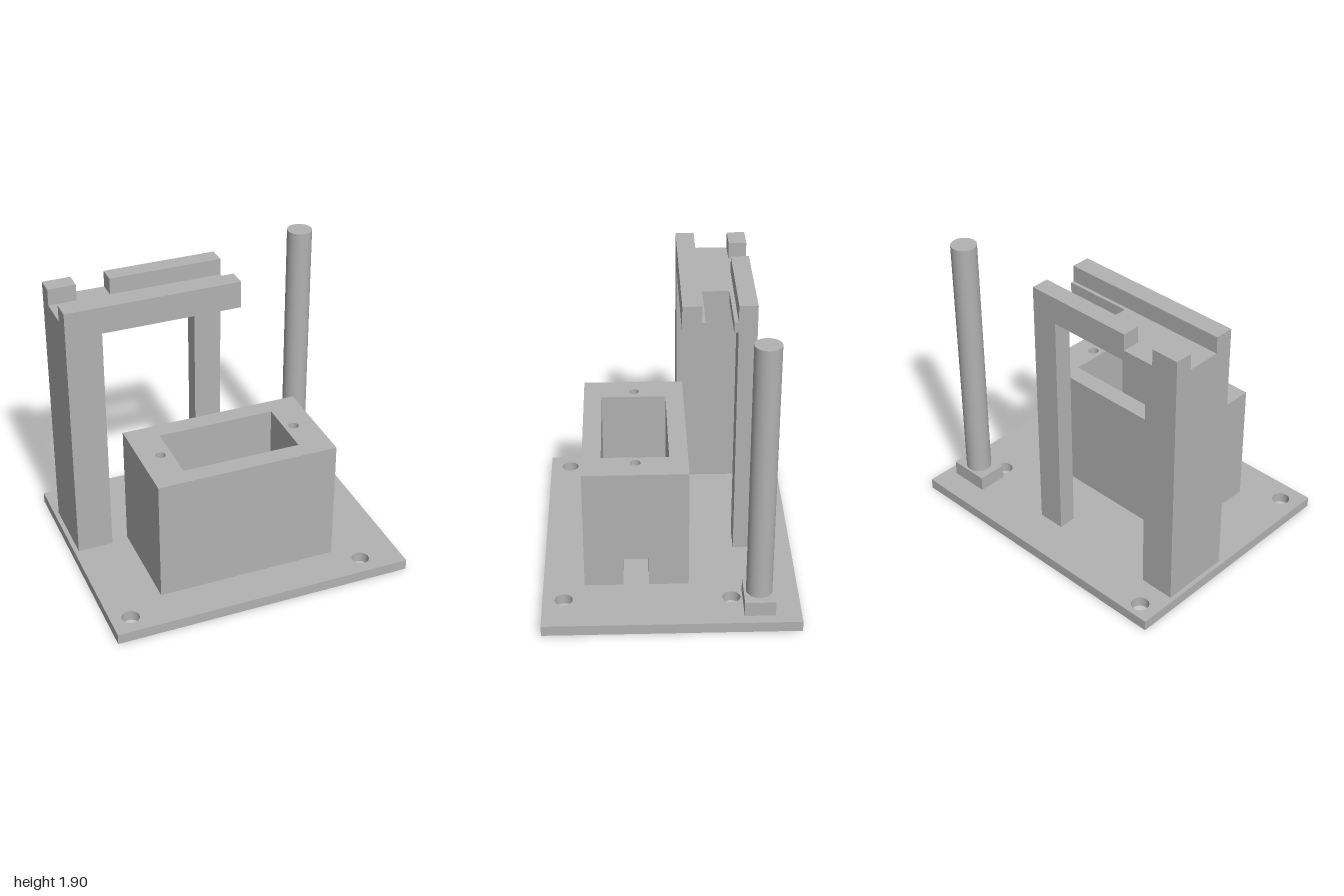
import * as THREE from 'three';
import { toCreasedNormals } from 'three/addons/utils/BufferGeometryUtils.js';

const grey = new THREE.MeshStandardMaterial({ color: 0xb2b2b2 });
grey.name = 'matte grey';

function add(group, name, geometry) {
  const mesh = new THREE.Mesh(geometry, grey);
  mesh.name = name;
  group.add(mesh);
  return mesh;
}

// Box given by its limits on each axis
function block(group, name, [x0, x1], [y0, y1], [z0, z1]) {
  const mesh = add(group, name, new THREE.BoxGeometry(x1 - x0, y1 - y0, z1 - z0));
  mesh.position.set((x0 + x1) / 2, (y0 + y1) / 2, (z0 + z1) / 2);
}

// Plan outlines are [x, z] pairs; shape y is -z so that the extrusion rises along +y
const outline = pts => pts.map(([x, z]) => new THREE.Vector2(x, -z));
const rect = (x0, x1, z0, z1) => [[x0, z0], [x0, z1], [x1, z1], [x1, z0]];
const rectHole = (...r) => new THREE.Path(outline(rect(...r)));
const roundHole = (x, z, r) => new THREE.Path().absarc(x, -z, r, 0, Math.PI * 2, true);

function prism(group, name, pts, [y0, y1], holes = []) {
  const shape = new THREE.Shape(outline(pts));
  shape.holes.push(...holes);
  const geo = new THREE.ExtrudeGeometry(shape, { depth: y1 - y0, bevelEnabled: false, curveSegments: 32 });
  geo.rotateX(-Math.PI / 2);
  geo.translate(0, y0, 0);
  add(group, name, toCreasedNormals(geo, 0.6));
}

export function createModel() {
  const model = new THREE.Group();
  model.name = 'mountingStand';
  const floor = 0.07;

  // Base plate with four bolt holes
  const bolts = [[-0.87, -0.72], [-0.87, 0.68], [0.73, 0.68], [0.73, -0.385]];
  prism(model, 'basePlate', rect(-1, 1, -0.815, 0.815), [0, floor],
    bolts.map(([x, z]) => roundHole(x, z, 0.057)));

  // Hollow housing: lower walls are open at the cable notch, upper walls carry the screw holes
  const housing = new THREE.Group();
  housing.name = 'housing';
  model.add(housing);
  prism(housing, 'housingLowerWalls', [
    [0.58, 0.135], [0.58, -0.12], [-0.62, -0.12], [-0.62, 0.55], [0.58, 0.55], [0.58, 0.3],
    [0.37, 0.3], [0.37, 0.43], [-0.41, 0.43], [-0.41, 0], [0.37, 0], [0.37, 0.135],
  ], [floor, 0.27]);
  prism(housing, 'housingUpperWalls', rect(-0.62, 0.58, -0.12, 0.55), [0.27, 0.9], [
    rectHole(-0.41, 0.37, 0, 0.43),
    roundHole(-0.483, 0.213, 0.033),
    roundHole(0.435, 0.213, 0.033),
  ]);

  // Gantry: wide leg, narrow rear leg, slotted deck and rails
  const gantry = new THREE.Group();
  gantry.name = 'gantry';
  model.add(gantry);
  const under = 1.67, deck = 1.74, top = 1.85;
  const front = [-0.207, -0.085], back = [-0.55, -0.432];
  block(gantry, 'wideLeg', [-0.97, -0.735], [floor, under], [-0.55, -0.085]);
  block(gantry, 'narrowLeg', [0, 0.183], [floor, under], back);
  prism(gantry, 'slottedDeck', [
    [-0.97, -0.55], [-0.97, -0.085], [0.183, -0.085], [0.183, -0.23],
    [-0.27, -0.23], [-0.27, -0.405], [0.183, -0.405], [0.183, -0.55],
  ], [under, deck]);
  block(gantry, 'frontRail', [-0.97, 0.183], [deck, top], front);
  block(gantry, 'backRail', [-0.567, 0.183], [deck, top], back);
  block(gantry, 'backStop', [-0.97, -0.785], [deck, top], back);

  // Round post on a square foot
  block(model, 'postFoot', [0.663, 0.93], [floor, 0.17], [-0.65, -0.455]);
  const post = add(model, 'post', new THREE.CylinderGeometry(0.083, 0.083, 1.73, 48));
  post.position.set(0.797, 0.17 + 1.73 / 2, -0.553);

  return model;
}
